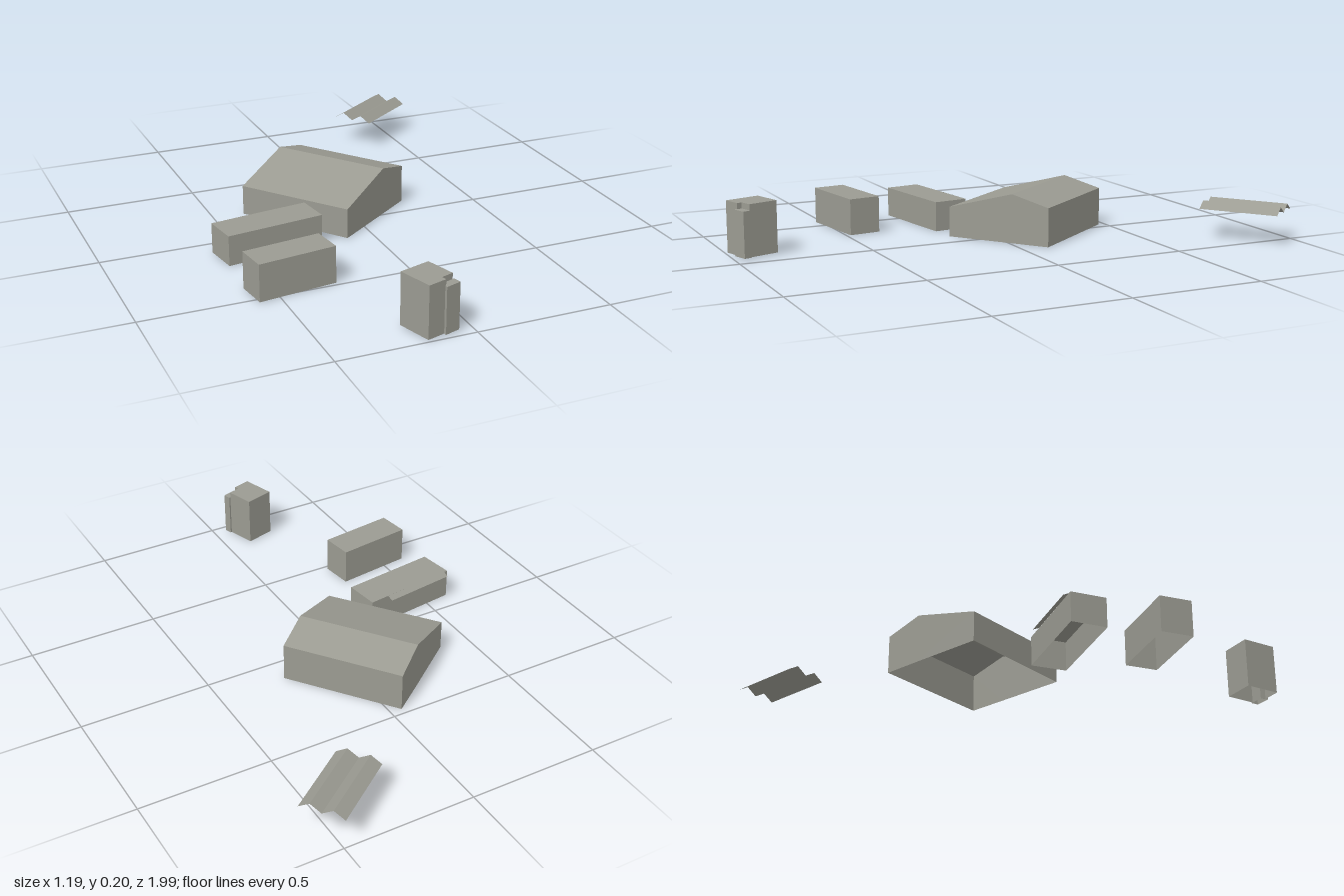
import * as THREE from 'three';

const grey = new THREE.MeshStandardMaterial({ color: 0x9b9b92, side: THREE.DoubleSide, flatShading: true });
grey.name = 'concrete grey';

// Flat-faced mesh from quads, each listed counter-clockwise from outside
function quadMesh(name, quads, triangles = []) {
  const p = [];
  for (const [a, b, c, d] of quads) p.push(...a, ...b, ...c, ...a, ...c, ...d);
  for (const t of triangles) p.push(...t.flat());
  const g = new THREE.BufferGeometry();
  g.setAttribute('position', new THREE.Float32BufferAttribute(p, 3));
  g.computeVertexNormals();
  const mesh = new THREE.Mesh(g, grey);
  mesh.name = name;
  return mesh;
}

// Outer walls around a footprint of [x, z] corners with a top height per corner
function walls(corners, tops, base = 0) {
  return corners.map(([x, z], i) => {
    const j = (i + 1) % corners.length;
    const [u, w] = corners[j];
    return [[x, base, z], [u, base, w], [u, tops[j], w], [x, tops[i], z]];
  });
}

// Flat-roofed block, open underneath
function block(name, corners, height, base = 0) {
  const outline = corners.map(([x, z]) => new THREE.Vector2(x, -z));
  const roof = THREE.ShapeUtils.triangulateShape(outline, [])
    .map(face => face.map(i => [corners[i][0], height, corners[i][1]]));
  return quadMesh(name, walls(corners, corners.map(() => height), base), roof);
}

export function createModel() {
  const model = new THREE.Group();
  model.name = 'buildings';

  // Hall with an off-centre ridge and uneven eaves
  const hall = [[-0.10, 0.15], [0.115, -0.01], [0.235, -0.10], [-0.045, -0.475], [-0.165, -0.385], [-0.38, -0.22]];
  const tops = [0.115, 0.187, 0.147, 0.147, 0.187, 0.115];
  const [a, b, c, d, e, f] = hall.map(([x, z], i) => [x, tops[i], z]);
  model.add(quadMesh('hall', [...walls(hall, tops), [a, b, e, f], [b, c, d, e]]));

  // Long shed with a thin sloping canopy along its back
  model.add(block('longShed', [[-0.58, 0.21], [-0.205, 0.16], [-0.222, 0.025], [-0.6, 0.075]], 0.115));
  model.add(quadMesh('shedCanopy', [
    [[-0.585, 0.115, 0.073], [-0.3, 0.115, 0.035], [-0.303, 0.105, 0.012], [-0.588, 0.105, 0.052]],
  ]));

  // Short shed
  model.add(block('shortShed', [[-0.577, 0.523], [-0.282, 0.483], [-0.298, 0.36], [-0.593, 0.4]], 0.14));

  // Tower with a lower stair block set into its front corner
  model.add(block('tower', [[-0.175, 0.995], [-0.106, 0.974], [-0.112, 0.955], [-0.066, 0.94], [-0.1, 0.83], [-0.215, 0.865]], 0.198, 0.005));
  model.add(block('stairBlock', [[-0.108, 0.986], [-0.051, 0.967], [-0.06, 0.938], [-0.112, 0.955]], 0.176, 0.005));

  // Raised canopy folded into two ridges
  const near = [0.35, -0.685], far = [0.25, -0.82], run = [0.244, -0.179];
  const fold = (i, end) => [
    near[0] + (far[0] - near[0]) * i / 4 + run[0] * end,
    i % 2 ? 0.141 : 0.115,
    near[1] + (far[1] - near[1]) * i / 4 + run[1] * end,
  ];
  const strips = [0, 1, 2, 3].map(i => [fold(i, 0), fold(i, 1), fold(i + 1, 1), fold(i + 1, 0)]);
  model.add(quadMesh('foldedCanopy', strips));

  return model;
}
